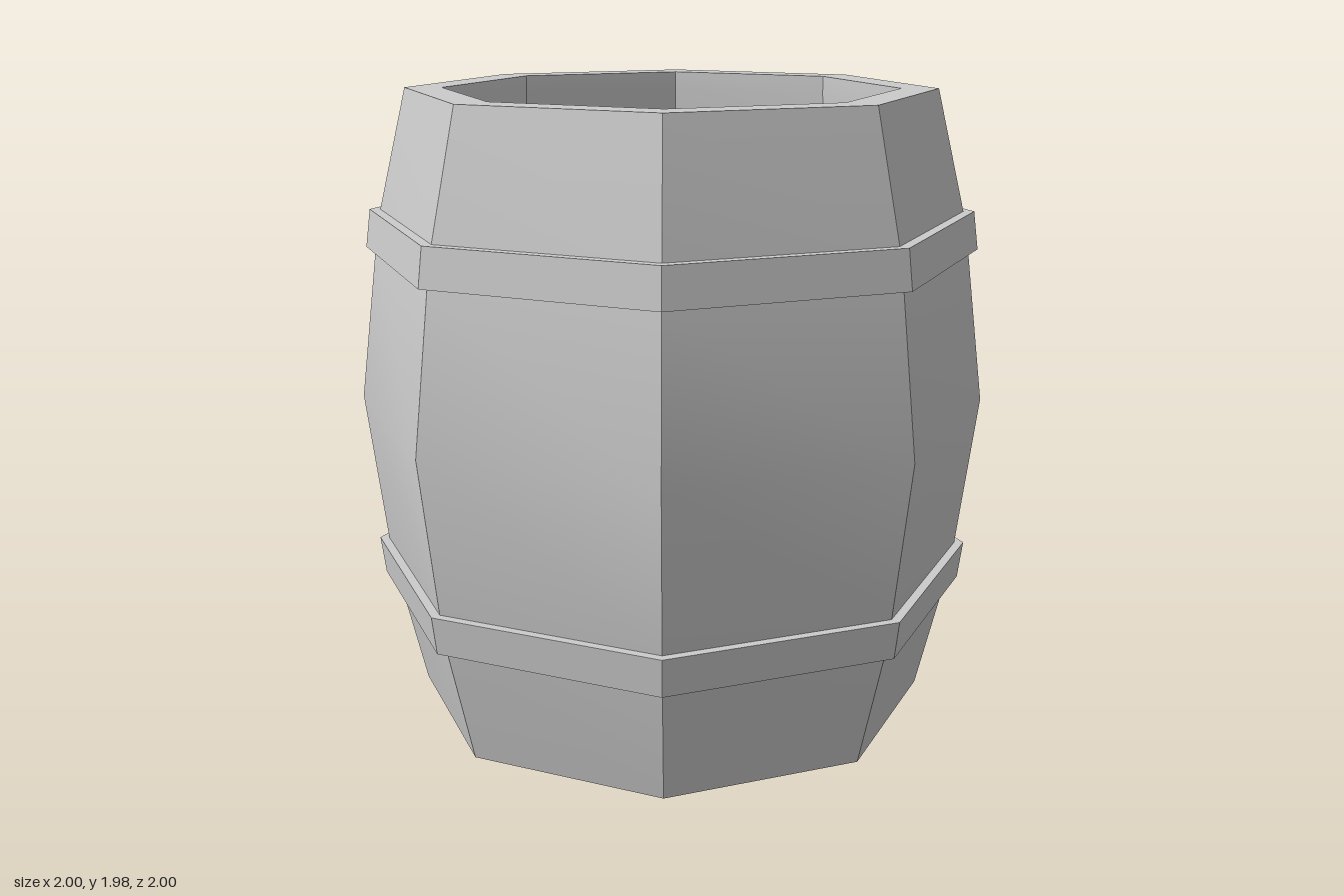
import * as THREE from 'three';
import { toCreasedNormals } from 'three/addons/utils/BufferGeometryUtils.js';

const HEIGHT = 1.98;
const LID_Y = 1.62;
const material = new THREE.MeshStandardMaterial({ color: 0xcccccc });
const thinMaterial = new THREE.MeshStandardMaterial({ color: 0xcccccc, side: THREE.DoubleSide });

// Eight-sided turned part from a profile of [radius, y], listed anticlockwise
function turned(name, profile) {
  const points = profile.map(([r, y]) => new THREE.Vector2(r, y));
  const geometry = toCreasedNormals(new THREE.LatheGeometry(points, 8), 0.4);
  const mesh = new THREE.Mesh(geometry, material);
  mesh.name = name;
  return mesh;
}

// Low rounded lump over an outline of [x, z], built from shrinking rings
function lump(name, outline, height) {
  const n = outline.length;
  const cx = outline.reduce((s, p) => s + p[0], 0) / n;
  const cz = outline.reduce((s, p) => s + p[1], 0) / n;
  const rings = [[1, 0], [0.85, 0.5], [0.5, 0.88]];
  const positions = [];
  for (const [scale, rise] of rings) {
    for (const [x, z] of outline) {
      positions.push(cx + (x - cx) * scale, LID_Y + rise * height, cz + (z - cz) * scale);
    }
  }
  positions.push(cx, LID_Y + height, cz);
  const index = [];
  const tip = rings.length * n;
  for (let i = 0; i < n; i++) {
    const j = (i + 1) % n;
    for (let k = 0; k < rings.length - 1; k++) {
      const a = k * n + i, b = k * n + j, c = a + n, d = b + n;
      index.push(a, c, b, b, c, d);
    }
    const last = (rings.length - 1) * n;
    index.push(last + i, tip, last + j);
  }
  // Outlines run clockwise seen from above, so flip to face upward
  const area = outline.reduce((s, p, i) => {
    const q = outline[(i + 1) % n];
    return s + p[0] * q[1] - q[0] * p[1];
  }, 0);
  if (area > 0) index.reverse();
  const geometry = new THREE.BufferGeometry();
  geometry.setAttribute('position', new THREE.Float32BufferAttribute(positions, 3));
  geometry.setIndex(index);
  // Make sure the tip triangle points up, whatever the outline direction
  geometry.computeVertexNormals();
  if (geometry.attributes.normal.getY(tip) < 0) {
    geometry.setIndex(index.slice().reverse());
    geometry.computeVertexNormals();
  }
  const mesh = new THREE.Mesh(geometry, thinMaterial);
  mesh.name = name;
  return mesh;
}

export function createModel() {
  const group = new THREE.Group();
  group.name = 'barrel';

  // Staves, rims, recessed bottom and sunken top surface
  group.add(turned('staves', [
    [0.71, 0.06], [0.71, 0], [0.826, 0], [0.918, 0.38], [0.938, 0.5], [1, 0.99],
    [0.938, 1.48], [0.918, 1.6], [0.826, HEIGHT], [0.71, HEIGHT], [0.71, HEIGHT - 0.06], [0.74, LID_Y],
  ]));
  group.add(turned('bottomPlate', [[0, 0.06], [0.71, 0.06]]));
  group.add(turned('topSurface', [[0.74, LID_Y], [0, LID_Y]]));

  // Hoops, each wider towards the belly
  group.add(turned('lowerHoop', [[0.9, 0.38], [0.952, 0.38], [0.968, 0.5], [0.92, 0.5]]));
  group.add(turned('upperHoop', [[0.92, 1.48], [0.968, 1.48], [0.952, 1.6], [0.9, 1.6]]));

  // Contents breaking the top surface
  group.add(lump('leftLump', [
    [-0.38, -0.15], [-0.29, -0.11], [-0.26, 0], [-0.27, 0.13],
    [-0.32, 0.29], [-0.44, 0.2], [-0.51, 0.06], [-0.49, -0.07],
  ], 0.09));
  group.add(lump('backLump', [
    [-0.13, -0.1], [-0.1, -0.22], [0, -0.31], [0.17, -0.38],
    [0.175, -0.2], [0.12, -0.05], [0.02, 0], [-0.1, -0.01],
  ], 0.07));
  group.add(lump('frontLump', [
    [0.05, 0.24], [0.2, 0.08], [0.29, 0.03], [0.41, 0.06],
    [0.49, 0.14], [0.47, 0.25], [0.37, 0.3], [0.2, 0.29],
  ], 0.08));

  // Small tips beside the lumps
  const tips = [
    [[0.23, -0.49], [0.29, -0.46], [0.33, -0.41], [0.29, -0.41]],
    [[-0.09, 0.18], [-0.03, 0.22], [-0.08, 0.22]],
    [[-0.35, 0.37], [-0.35, 0.43], [-0.4, 0.44]],
  ];
  tips.forEach((outline, i) => group.add(lump('smallTip' + (i + 1), outline, 0.02)));

  return group;
}
